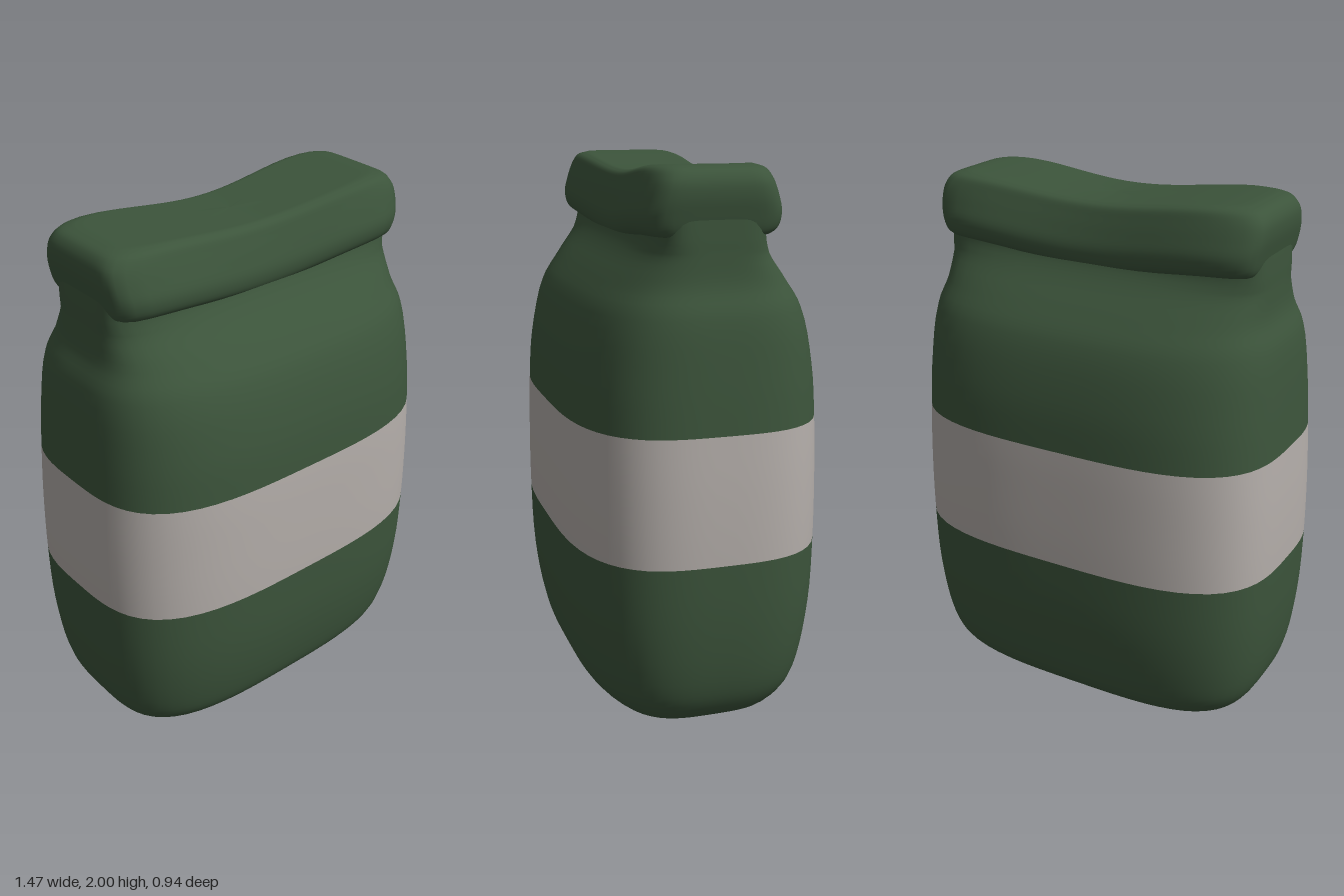
import * as THREE from 'three';

const SIDES = 80, STEPS = 4;

// Smooth loft through rounded-rectangle sections [y, halfWidth, halfDepth, squareness].
// bend(point) may deform each vertex; isBand(y) selects the second material.
function loft(sections, { capBottom = false, capTop = false, bend, isBand } = {}) {
  const curve = new THREE.CatmullRomCurve3(
    sections.map(([y, w, d]) => new THREE.Vector3(w, y, d)), false, 'centripetal');
  const rows = [];
  const spans = sections.length - 1;
  for (let i = 0; i <= spans * STEPS; i++) {
    const p = curve.getPoint(i / (spans * STEPS));
    const k = Math.min(Math.floor(i / STEPS), spans - 1);
    const n = THREE.MathUtils.lerp(sections[k][3], sections[k + 1][3], i / STEPS - k);
    rows.push([p.y, p.x, p.z, n]);
  }
  // flat caps made of shrinking rings
  const ring = (row, s) => [row[0], row[1] * s, row[2] * s, row[3]];
  const first = rows[0], last = rows[rows.length - 1];
  const shrink = [0.93, 0.75, 0.5, 0.25, 0];
  if (capBottom) shrink.forEach((s) => rows.unshift(ring(first, s)));
  if (capTop) shrink.forEach((s) => rows.push(ring(last, s)));

  const positions = [], indices = [], v = new THREE.Vector3();
  for (const [y, w, d, n] of rows) {
    for (let j = 0; j < SIDES; j++) {
      const a = (j / SIDES) * Math.PI * 2, c = Math.cos(a), s = Math.sin(a);
      const r = Math.pow(Math.abs(c) ** n + Math.abs(s) ** n, -1 / n);
      v.set(w * r * c, y, d * r * s);
      if (bend) bend(v);
      positions.push(v.x, v.y, v.z);
    }
  }
  const geometry = new THREE.BufferGeometry();
  for (let i = 0; i < rows.length - 1; i++) {
    const start = indices.length;
    for (let j = 0; j < SIDES; j++) {
      const k = (j + 1) % SIDES;
      const a = i * SIDES + j, b = i * SIDES + k;
      indices.push(a, a + SIDES, b, b, a + SIDES, b + SIDES);
    }
    const middle = (rows[i][0] + rows[i + 1][0]) / 2;
    if (isBand) geometry.addGroup(start, SIDES * 6, isBand(middle) ? 1 : 0);
  }
  geometry.setAttribute('position', new THREE.Float32BufferAttribute(positions, 3));
  geometry.setIndex(indices);
  geometry.computeVertexNormals();
  return geometry;
}

export function createModel() {
  const green = new THREE.MeshStandardMaterial({ color: 0x3c543b });
  green.name = 'dark green paper';
  const grey = new THREE.MeshStandardMaterial({ color: 0xb3ada9 });
  grey.name = 'warm grey label';

  const model = new THREE.Group();
  model.name = 'paperBag';

  // Bag body with a label band wrapped around it
  const body = new THREE.Mesh(loft([
    [0, 0.54, 0.28, 3.6],
    [0.025, 0.61, 0.325, 3.4],
    [0.1, 0.67, 0.395, 3.3],
    [0.2, 0.702, 0.428, 3.3],
    [0.4, 0.727, 0.46, 3.3],
    [0.65, 0.735, 0.47, 3.3],
    [0.9, 0.732, 0.47, 3.3],
    [1.11, 0.722, 0.465, 3.3],
    [1.3, 0.71, 0.45, 3.3],
    [1.5, 0.688, 0.4, 3.4],
    [1.6, 0.652, 0.33, 3.8],
    [1.7, 0.642, 0.245, 4.5],
    [1.76, 0.64, 0.213, 6],
    [1.86, 0.635, 0.21, 7],
  ], { capBottom: true, isBand: (y) => y > 0.65 && y < 1.11 }), [green, grey]);
  body.name = 'bagBodyWithLabel';
  model.add(body);

  // Rolled-over top, sagging and pinched in the middle
  const sag = (v) => {
    const t = Math.abs(v.x) < 0.56 ? 0.5 + 0.5 * Math.cos(Math.PI * v.x / 0.56) : 0;
    v.y -= 0.043 * t;
    v.z *= 1 - 0.12 * t;
  };
  const roll = new THREE.Mesh(loft([
    [1.775, 0.6, 0.18, 8],
    [1.768, 0.615, 0.222, 8],
    [1.79, 0.628, 0.25, 8],
    [1.84, 0.64, 0.26, 8],
    [1.9, 0.65, 0.243, 8],
    [1.95, 0.646, 0.224, 8],
    [1.985, 0.622, 0.208, 7],
    [2, 0.57, 0.18, 6],
  ], { capTop: true, bend: sag }), green);
  roll.name = 'rolledTop';
  model.add(roll);

  return model;
}
